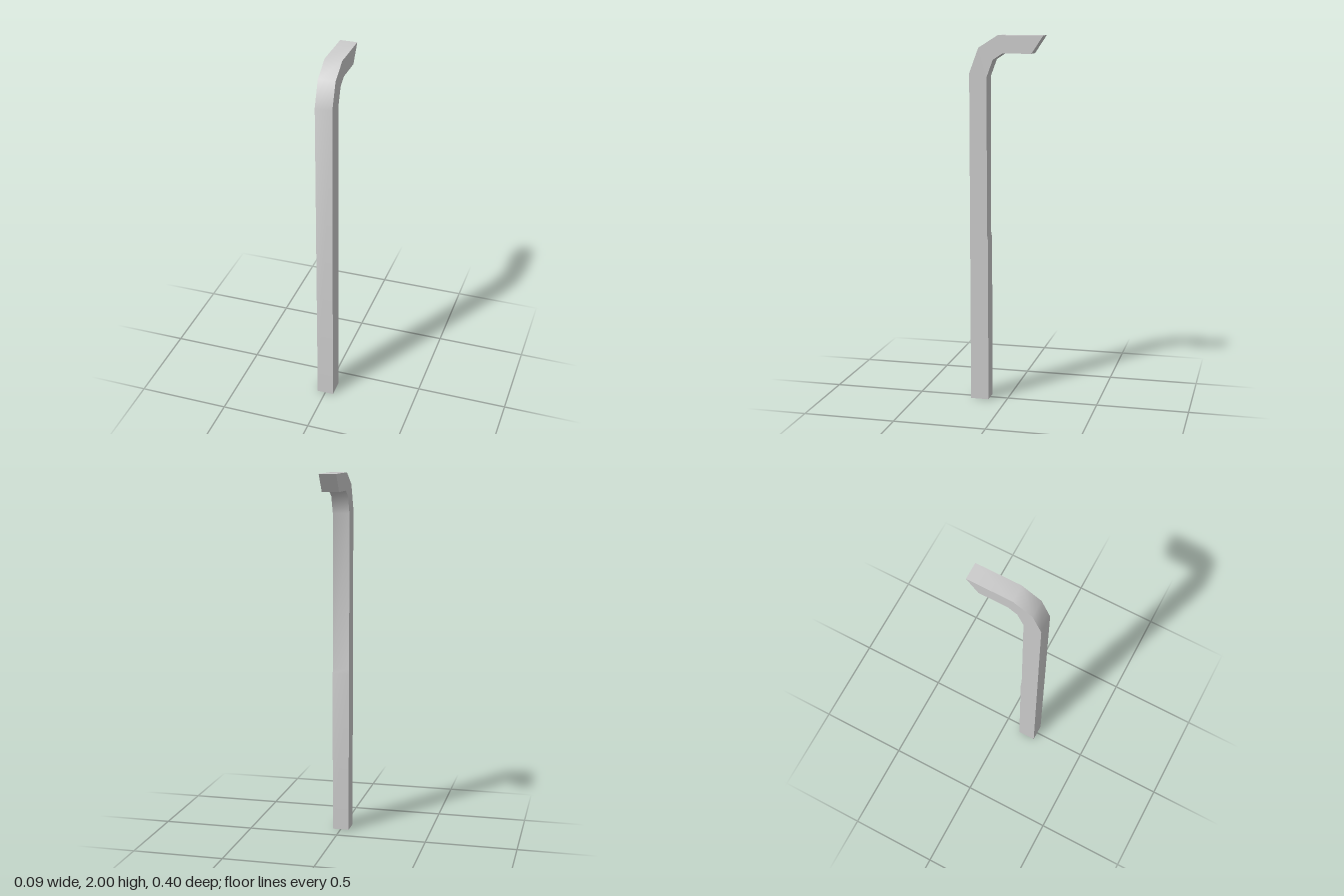
import * as THREE from 'three';
import { toCreasedNormals } from 'three/addons/utils/BufferGeometryUtils.js';

const WIDTH = 0.092;

// side outline as [z, y]: outer edge upwards, slanted tip, inner edge downwards
const OUTLINE = [
  [0.2, 0], [0.2, 1.8], [0.15, 1.934], [0.045, 2], [-0.2, 2],
  [-0.137, 1.905], [0.02, 1.905], [0.071, 1.872], [0.105, 1.78],
  [0.105, 0.93], [0.1, 0.9], [0.1, 0],
];

export function createModel() {
  const group = new THREE.Group();
  group.name = 'bentPost';

  // square bar, extruded across its width, then turned so the tip points back
  const shape = new THREE.Shape(OUTLINE.map(([z, y]) => new THREE.Vector2(-z, y)));
  const bar = new THREE.ExtrudeGeometry(shape, { depth: WIDTH, bevelEnabled: false });
  bar.translate(0, 0, -WIDTH / 2);
  bar.rotateY(Math.PI / 2);

  // smooth around the bend, sharp along the edges
  const mesh = new THREE.Mesh(
    toCreasedNormals(bar, THREE.MathUtils.degToRad(45)),
    new THREE.MeshStandardMaterial({ color: 0xcccccc }),
  );
  mesh.name = 'hookedBar';
  group.add(mesh);
  return group;
}
